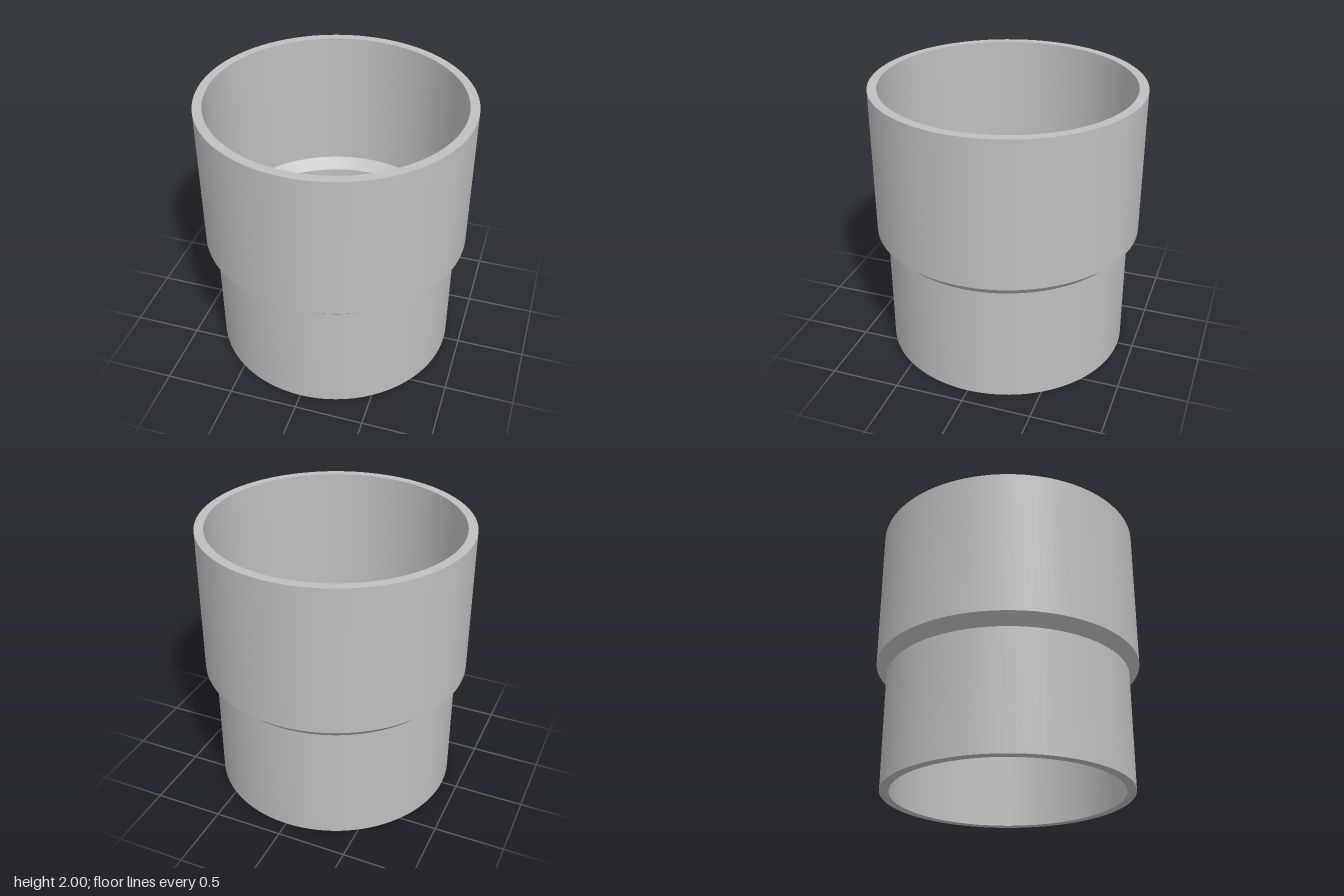
import * as THREE from 'three';

const SEGMENTS = 128;

export function createModel() {
  const group = new THREE.Group();
  group.name = 'steppedPipeReducer';
  const grey = new THREE.MeshStandardMaterial({ color: 0xbfbfbf });
  grey.name = 'plain grey';

  // Closed wall profile (radius, height): up the outside, over the rim, down the bore
  const profile = [
    ['lowerOuterWall', 0.885, 0],
    ['outerChamfer', 0.885, 0.86],
    ['upperOuterWall', 0.96, 0.935],
    ['topRim', 0.96, 2],
    ['upperBore', 0.895, 2],
    ['innerChamfer', 0.895, 0.935],
    ['lowerBore', 0.82, 0.86],
    ['bottomRim', 0.82, 0],
  ];

  // One lathed band per profile edge keeps the edges sharp and the walls smooth
  profile.forEach(([name, r, y], i) => {
    const [, nextR, nextY] = profile[(i + 1) % profile.length];
    const band = new THREE.LatheGeometry(
      [new THREE.Vector2(r, y), new THREE.Vector2(nextR, nextY)], SEGMENTS);
    const mesh = new THREE.Mesh(band, grey);
    mesh.name = name;
    group.add(mesh);
  });
  return group;
}
